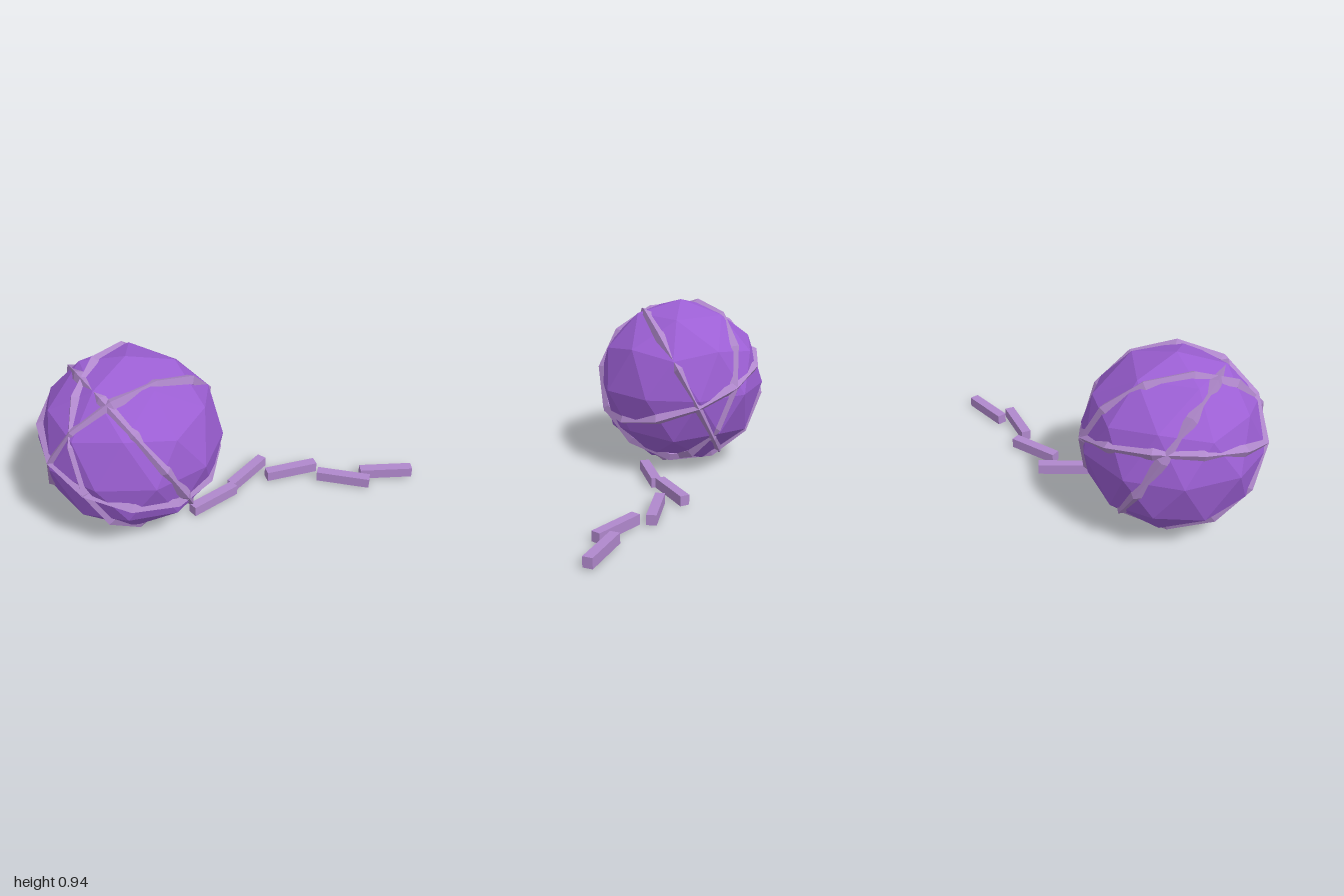
import * as THREE from 'three';

export function createModel() {
  const model = new THREE.Group();
  model.name = 'yarnBall';

  const ballPurple = new THREE.MeshStandardMaterial({ color: 0x9c5fd4, flatShading: true });
  ballPurple.name = 'ball purple';
  const strandLilac = new THREE.MeshStandardMaterial({ color: 0xb088cc, flatShading: true });
  strandLilac.name = 'strand lilac';

  const center = new THREE.Vector3(-0.525, 0.47, 0);

  // Faceted ball, turned so a corner points straight up
  const ballGeometry = new THREE.IcosahedronGeometry(0.47, 1);
  ballGeometry.rotateZ(-Math.atan(2 / (1 + Math.sqrt(5))));
  const ball = new THREE.Mesh(ballGeometry, ballPurple);
  ball.name = 'ball';
  ball.position.copy(center);
  model.add(ball);

  // Strands wound round the ball: ring axis and the direction of one ring corner
  const windings = [
    [[0.178, 0.93, 0.31], [0.44, -0.04, -0.14]],
    [[-0.233, 0.45, -0.862], [0.44, -0.04, -0.14]],
    [[0.854, 0.486, -0.19], [0.165, -0.13, 0.41]],
    [[0.65, 0.345, 0.677], [0.318, 0.04, -0.33]],
  ];
  const ringGeometry = new THREE.TorusGeometry(0.449, 0.03, 4, 12);
  windings.forEach(([axis, corner], i) => {
    const n = new THREE.Vector3(...axis).normalize();
    const u = new THREE.Vector3(...corner).projectOnPlane(n).normalize();
    const v = new THREE.Vector3().crossVectors(n, u);
    const ring = new THREE.Mesh(ringGeometry, strandLilac);
    ring.name = `woundStrand${i + 1}`;
    ring.quaternion.setFromRotationMatrix(new THREE.Matrix4().makeBasis(u, v, n));
    ring.position.copy(center);
    model.add(ring);
  });

  // Loose tail on the floor: x, z and heading in degrees of each piece
  const tail = new THREE.Group();
  tail.name = 'looseTail';
  const pieceGeometry = new THREE.BoxGeometry(0.288, 0.055, 0.052);
  [
    [-0.128, 0.13, -20],
    [0.117, -0.017, -33],
    [0.358, 0.04, 2],
    [0.604, 0.203, 33],
    [0.85, 0.23, 16],
  ].forEach(([x, z, heading], i) => {
    const piece = new THREE.Mesh(pieceGeometry, strandLilac);
    piece.name = `tailPiece${i + 1}`;
    piece.position.set(x, 0.035, z);
    piece.rotation.y = -THREE.MathUtils.degToRad(heading);
    tail.add(piece);
  });
  model.add(tail);

  return model;
}
